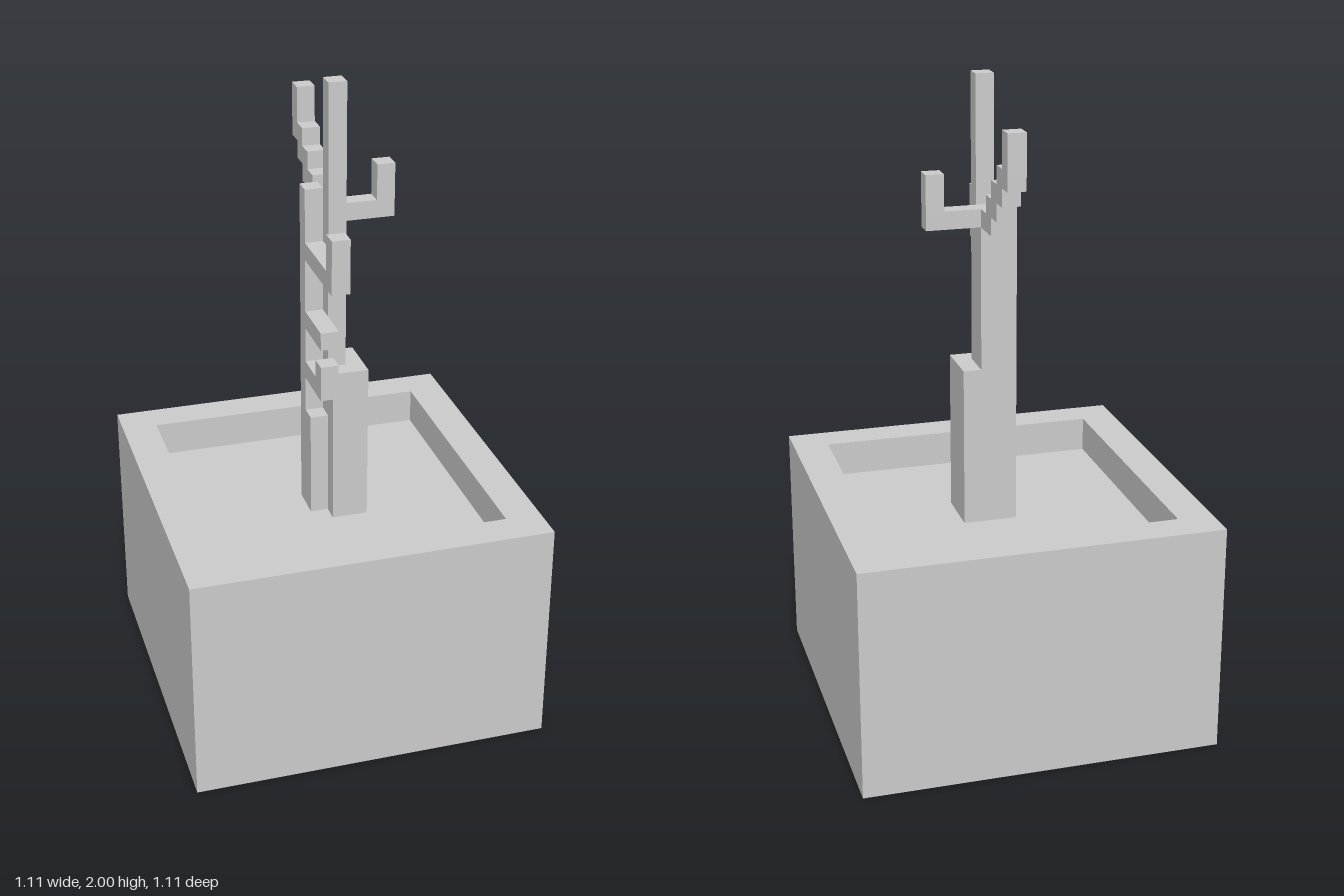
import * as THREE from 'three';

const U = 2 / 36; // one voxel
const mat = new THREE.MeshStandardMaterial({ color: 0xcccccc, flatShading: true });

// Box between two corners given in voxels
function block(parent, name, [x0, y0, z0], [x1, y1, z1]) {
  const mesh = new THREE.Mesh(
    new THREE.BoxGeometry((x1 - x0) * U, (y1 - y0) * U, (z1 - z0) * U), mat);
  mesh.position.set((x0 + x1) * U / 2, (y0 + y1) * U / 2, (z0 + z1) * U / 2);
  mesh.name = name;
  parent.add(mesh);
}

function part(parent, name, boxes) {
  const group = new THREE.Group();
  group.name = name;
  for (const [a, b] of boxes) block(group, name + 'Block', a, b);
  parent.add(group);
}

function square(PathType, half) {
  const h = half * U;
  return new PathType([[-h, -h], [h, -h], [h, h], [-h, h]].map(p => new THREE.Vector2(...p)));
}

export function createModel() {
  const model = new THREE.Group();
  model.name = 'pottedTree';

  // Square planter: solid up to the soil, with a raised rim around it
  const soil = 11, top = 13;
  block(model, 'planterBody', [-10, 0, -10], [10, soil, 10]);
  const frame = square(THREE.Shape, 10);
  frame.holes.push(square(THREE.Path, 8));
  const rim = new THREE.Mesh(
    new THREE.ExtrudeGeometry(frame, { depth: (top - soil) * U, bevelEnabled: false }), mat);
  rim.rotation.x = -Math.PI / 2;
  rim.position.y = soil * U;
  rim.name = 'planterRim';
  model.add(rim);

  // Trunk: thick base and columns of differing height
  part(model, 'trunk', [
    [[0, soil, -1], [2, 20, 2]],
    [[-1, soil, -1], [0, 30, 0]],
    [[-1, soil, 0], [0, 17, 1]],
    [[0, 20, -1], [1, 29, 0]],
    [[0, 20, 0], [1, 36, 1]],
  ]);

  // Branches reaching forward on the right side
  part(model, 'lowerFrontBranch', [[[-1, 19, 0], [0, 20, 3]], [[-1, 20, 2], [0, 21, 3]]]);
  part(model, 'frontStub', [[[-1, 22, 0], [0, 23, 3]]]);
  part(model, 'upperFrontBranch', [[[-1, 26, 0], [0, 27, 5]], [[-1, 27, 4], [0, 29, 5]]]);

  // Branch reaching to the left, with an upturned end
  part(model, 'leftBranch', [[[1, 28, -1], [4, 29, 0]], [[3, 29, -1], [4, 31, 0]]]);

  // Stepped branch climbing backward
  const steps = [];
  for (let i = 0; i < 4; i++) steps.push([[0, 28 + i, -3 - i], [1, 29 + i, -1 - i]]);
  steps.push([[0, 32, -6], [1, 34, -5]]);
  part(model, 'backBranch', steps);

  return model;
}
